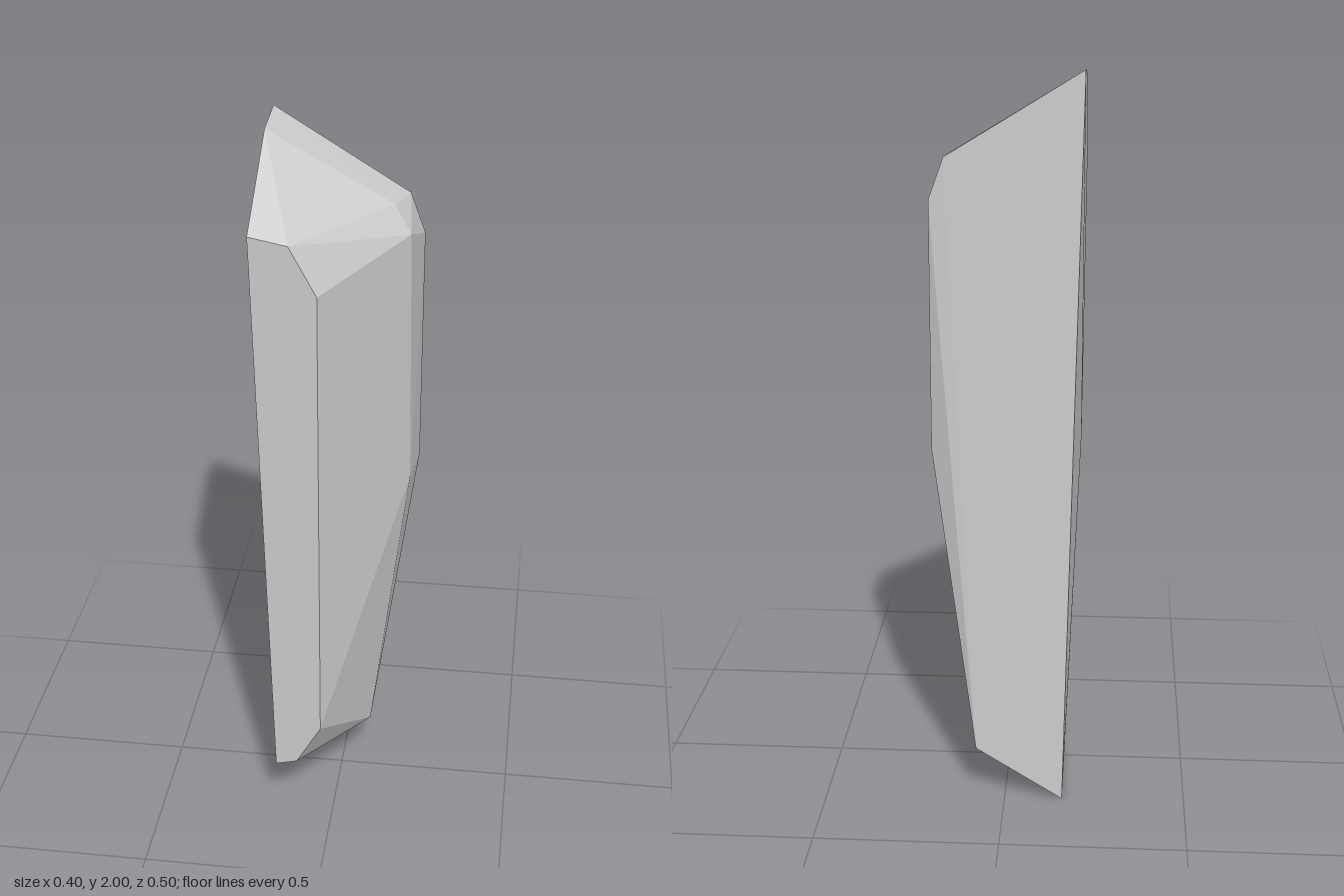
import * as THREE from 'three';
import { ConvexGeometry } from 'three/addons/geometries/ConvexGeometry.js';

// Corner rings of the cut stone, each corner [x, y, z]
const crown = [
  [-0.2, 2.0, -0.177], [-0.2, 1.985, -0.035],                      // peak ridge
  [-0.2, 1.81, 0.25], [-0.1, 1.79, 0.25], [-0.03, 1.66, 0.25],     // front rim
  [0.13, 1.79, -0.06], [0.16, 1.78, -0.177],                       // upper bevel
  [0.175, 1.72, -0.036], [0.2, 1.67, -0.177],                      // lower bevel
];
const waist = [
  [0.2, 1.0, -0.177], [0.185, 1.0, -0.046], [-0.198, 1.0, -0.03],
];
const foot = [
  [-0.16, 0, -0.252], [-0.16, 0.015, -0.06],                       // lowest ridge
  [-0.16, 0.18, 0.25], [-0.1, 0.195, 0.25], [-0.03, 0.32, 0.25],   // front rim
  [0.085, 0.17, -0.01], [0.08, 0.15, -0.252],                      // side corners
];

export function createModel() {
  const group = new THREE.Group();
  group.name = 'crystal';

  // One faceted convex shard spanning all the corners
  const corners = [...crown, ...waist, ...foot].map((p) => new THREE.Vector3(...p));
  const shard = new THREE.Mesh(
    new ConvexGeometry(corners),
    new THREE.MeshStandardMaterial({ color: 0xcccccc, flatShading: true })
  );
  shard.name = 'crystalShard';
  group.add(shard);
  return group;
}
